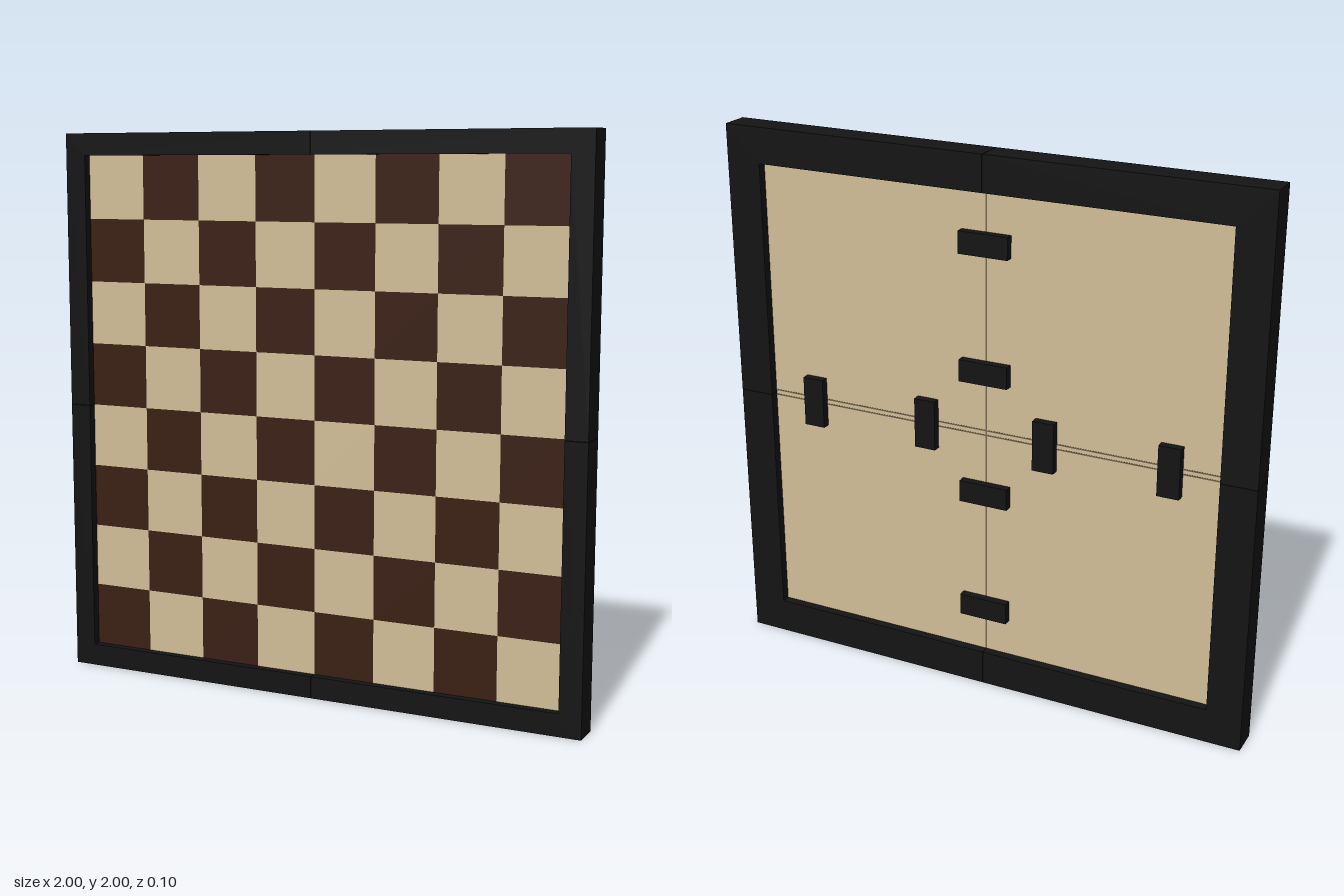
import * as THREE from 'three';

const FRONT = 0.0525;      // half thickness of the frame
const TILE_Z = 0.022;      // recessed playing surface
const PANEL_Z = -0.02;     // recessed back panel
const TILE = 0.23;

const paint = (color) => new THREE.MeshStandardMaterial({ color });
const frameMat = paint(0x141414);
const lightMat = paint(0xd3bf99);
const darkMat = paint(0x3b2014);
const seamMat = paint(0x75664e);

function box(parent, name, w, h, z0, z1, x, y, mat) {
  const mesh = new THREE.Mesh(new THREE.BoxGeometry(w, h, z1 - z0), mat);
  mesh.position.set(x, y, (z0 + z1) / 2);
  mesh.name = name;
  parent.add(mesh);
  return mesh;
}

// L-shaped corner of the rim, covering one quarter of the board
function frameQuarter(name, inner, z0, z1) {
  const g = 0.0008;
  const shape = new THREE.Shape([
    [inner, g], [1, g], [1, 1], [g, 1], [g, inner], [inner, inner],
  ].map(([x, y]) => new THREE.Vector2(x, y)));
  const geo = new THREE.ExtrudeGeometry(shape, { depth: z1 - z0, bevelEnabled: false });
  geo.translate(0, 0, z0);
  const mesh = new THREE.Mesh(geo, frameMat);
  mesh.name = name;
  return mesh;
}

export function createModel() {
  const model = new THREE.Group();
  model.name = 'chessboard';
  const board = new THREE.Group();
  board.name = 'board';
  board.position.y = 1;
  model.add(board);

  // Four quarters: narrow front rim, wider back rim, back panel
  for (let q = 0; q < 4; q++) {
    const quarter = new THREE.Group();
    quarter.name = 'boardQuarter';
    quarter.rotation.z = q * Math.PI / 2;
    quarter.add(frameQuarter('frontRim', 0.92, 0, FRONT));
    quarter.add(frameQuarter('backRim', 0.87, -FRONT, 0));
    box(quarter, 'backPanel', 0.87, 0.87, PANEL_Z, 0, 0.435, 0.435, lightMat);
    board.add(quarter);
  }

  // Checkered squares, dark in the lower left corner
  const squares = new THREE.Group();
  squares.name = 'squares';
  for (let i = 0; i < 8; i++) {
    for (let j = 0; j < 8; j++) {
      const dark = (i + j) % 2 === 0;
      box(squares, dark ? 'darkSquare' : 'lightSquare', TILE, TILE, 0, TILE_Z,
        (i - 3.5) * TILE, (j - 3.5) * TILE, dark ? darkMat : lightMat);
    }
  }
  board.add(squares);

  // Joints between the quarters on the back
  const seam = (w, h, x, y) => box(board, 'backSeam', w, h, PANEL_Z - 0.001, PANEL_Z + 0.002, x, y, seamMat);
  seam(0.006, 1.74, 0, 0);
  for (const s of [-1, 1]) seam(1.74, 0.005, 0, s * 0.009);

  // Connector clips bridging the joints
  for (const k of [-3, -1, 1, 3]) {
    box(board, 'uprightClip', 0.08, 0.185, -0.05, PANEL_Z, k * TILE, 0, frameMat);
    box(board, 'levelClip', 0.185, 0.08, -0.05, PANEL_Z, 0, k * TILE, frameMat);
  }

  return model;
}
